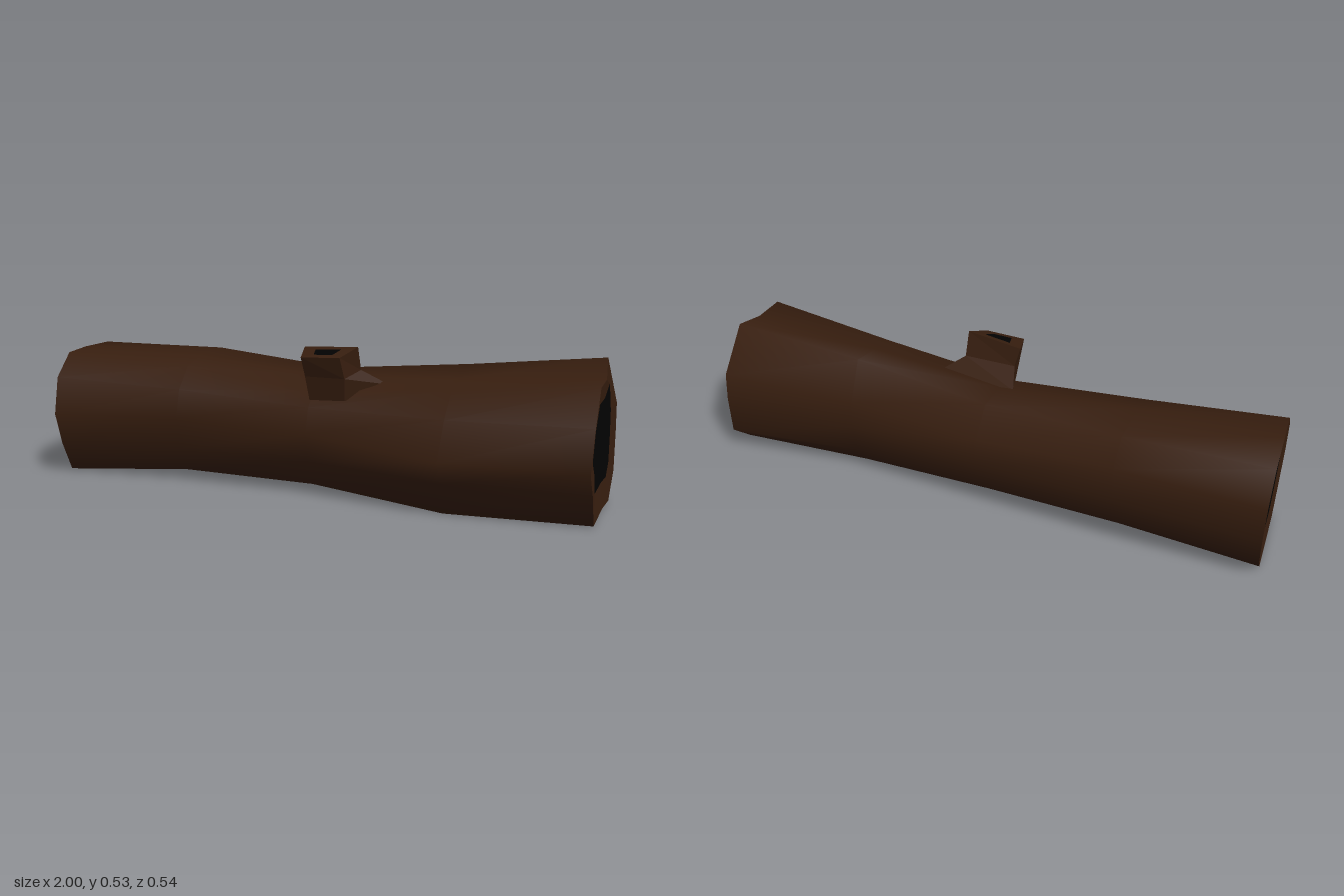
import * as THREE from 'three';

const bark = new THREE.MeshStandardMaterial({ color: 0x371e0f });
const cutWood = new THREE.MeshStandardMaterial({ color: 0x371e0f, flatShading: true });
const hollow = new THREE.MeshStandardMaterial({ color: 0x020202, flatShading: true });

// Skin a list of closed rings, each a list of [x, y, z]
function loft(name, rings, material) {
  const n = rings[0].length, index = [];
  for (let i = 0; i < rings.length - 1; i++) {
    for (let j = 0; j < n; j++) {
      const a = i * n + j, b = i * n + (j + 1) % n;
      index.push(a, b, a + n, b, b + n, a + n);
    }
  }
  const geometry = new THREE.BufferGeometry();
  geometry.setAttribute('position', new THREE.Float32BufferAttribute(rings.flat(2), 3));
  geometry.setIndex(index);
  geometry.computeVertexNormals();
  const mesh = new THREE.Mesh(geometry, material);
  mesh.name = name;
  return mesh;
}

const middle = ring => [0, 1, 2].map(k => ring.reduce((s, p) => s + p[k], 0) / ring.length);
const shrink = (ring, f) => {
  const c = middle(ring);
  return ring.map(p => p.map((v, k) => c[k] + (v - c[k]) * f));
};
const shiftX = (ring, d) => ring.map(([x, y, z]) => [x + d, y, z]);

// Trunk outlines as [z, y], starting at the lower front and running under to the back
const outlines = [
  [[.14, .007], [0, .002], [-.13, .007], [-.21, .1], [-.25, .22], [-.255, .36],
    [-.17, .455], [0, .46], [.12, .455], [.21, .375], [.24, .24], [.2, .12]],
  [[.1, .04], [0, .03], [-.14, .04], [-.22, .12], [-.26, .24], [-.27, .38],
    [-.195, .455], [-.02, .45], [.08, .425], [.15, .35], [.178, .25], [.15, .13]],
  [[.1, .035], [0, .03], [-.13, .03], [-.2, .1], [-.24, .22], [-.235, .32],
    [-.15, .415], [-.02, .405], [.085, .37], [.14, .32], [.167, .23], [.15, .13]],
  [[.18, .005], [0, .008], [-.13, .015], [-.19, .1], [-.21, .22], [-.2, .32],
    [-.13, .462], [0, .43], [.1, .41], [.19, .325], [.27, .2], [.225, .12]],
  [[.145, .007], [-.03, .018], [-.165, .008], [-.255, .095], [-.257, .24], [-.245, .34],
    [-.15, .51], [-.005, .46], [.12, .455], [.205, .34], [.26, .205], [.195, .12]],
];
const leftHole = [[.09, .1], [-.035, .105], [-.143, .098], [-.187, .14], [-.188, .245], [-.178, .325],
  [-.122, .427], [-.025, .395], [.073, .392], [.133, .315], [.165, .22], [.122, .175]];

// The two ends are sawn slightly askew
const stations = [
  z => -.987 + .05 * z, () => -.5, () => 0, () => .5,
  (z, y) => .993 - .02 * z - .4 * Math.max(0, y - .45),
];
const place = (outline, i) => outline.map(([z, y]) => [stations[i](z, y), y, z]);

export function createModel() {
  const log = new THREE.Group();
  log.name = 'hollowLog';

  const rings = outlines.map(place);
  log.add(loft('trunk', rings, bark));

  // Sawn ends: slightly dished rim and dark core
  const left = rings[4], leftInner = shiftX(place(leftHole, 4), -.01);
  log.add(loft('leftRim', [left, leftInner], cutWood));
  log.add(loft('leftCore', [leftInner, shrink(leftInner, 0)], hollow));
  const right = rings[0], rightInner = shiftX(shrink(right, .7), .01);
  log.add(loft('rightRim', [rightInner, right], cutWood));
  log.add(loft('rightCore', [shrink(rightInner, 0), rightInner], hollow));

  // Broken branch: flared foot, neck and tip, leaning to the front
  const foot = [[0, .345, .127], [.13, .35, .127], [.25, .395, .005], [-.05, .405, -.02]];
  const neck = [[-.01, .43, .143], [.135, .43, .143], [.165, .45, .058], [-.025, .455, .055]];
  const tip = [[-.015, .5, .169], [.125, .505, .164], [.165, .535, .09], [-.04, .522, .07]];
  const mouth = shrink(tip, .48);
  const branch = new THREE.Group();
  branch.name = 'branchStub';
  branch.add(loft('branchSides', [foot, neck, tip], cutWood));
  branch.add(loft('branchRim', [tip, mouth], cutWood));
  branch.add(loft('branchCore', [mouth, shrink(mouth, 0)], hollow));
  log.add(branch);

  return log;
}
